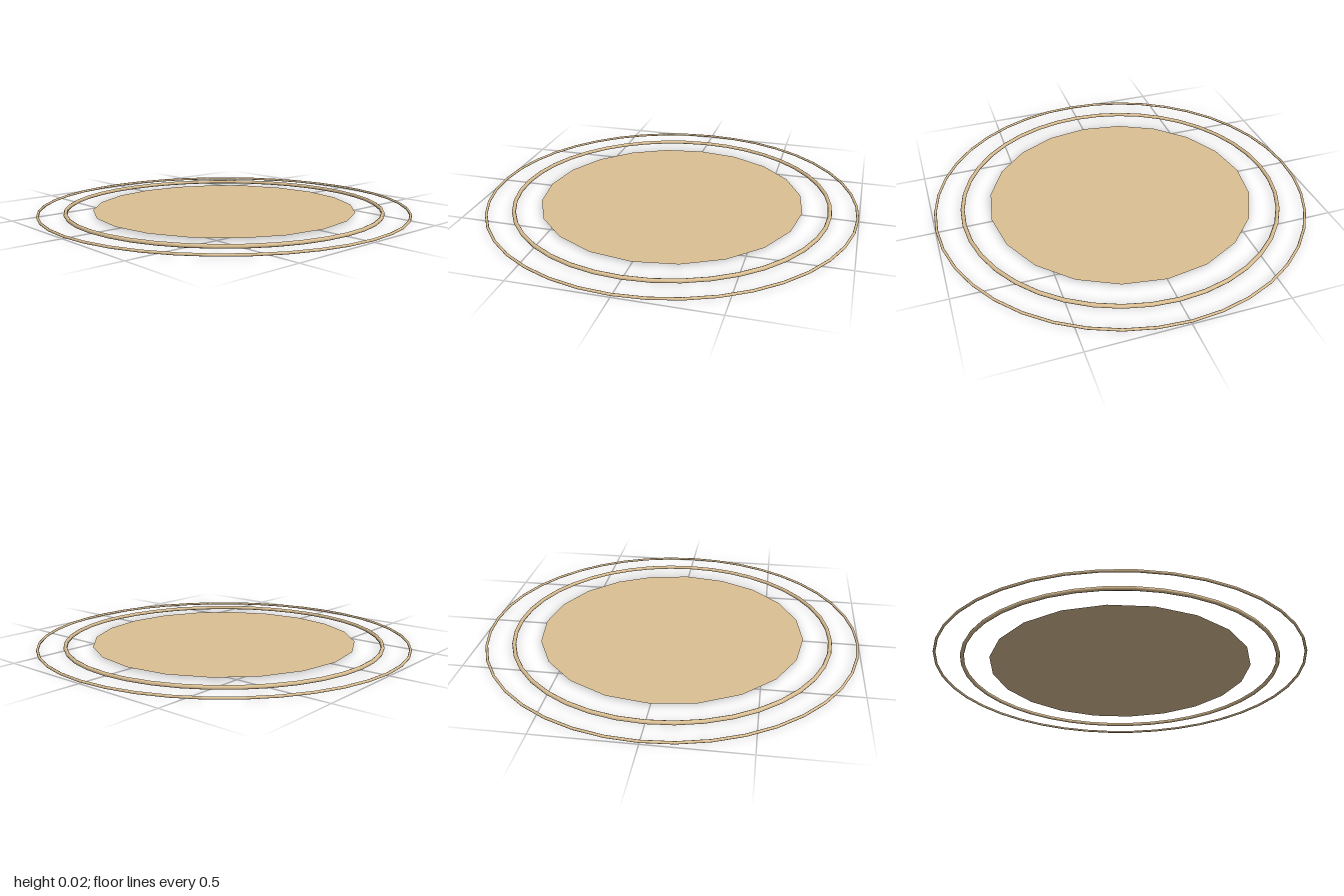
import * as THREE from 'three';

export function createModel() {
  const group = new THREE.Group();
  const material = new THREE.MeshStandardMaterial({ color: 0xdcc094, side: THREE.DoubleSide });
  const midHeight = 0.0106;

  // Lays a flat shape, drawn in the xy plane, down on the ground facing up
  function addFlat(name, geometry) {
    geometry.rotateX(-Math.PI / 2);
    const mesh = new THREE.Mesh(geometry, material);
    mesh.name = name;
    mesh.position.y = midHeight;
    group.add(mesh);
  }

  // Thin 20-sided disc in the middle
  addFlat('centreDisc', new THREE.CircleGeometry(0.709, 20));

  // Two concentric wire rings, the outer one finer
  addFlat('innerRing', new THREE.TorusGeometry(0.851, 0.0106, 8, 40));
  addFlat('outerRing', new THREE.TorusGeometry(0.993, 0.007, 8, 40));

  return group;
}
